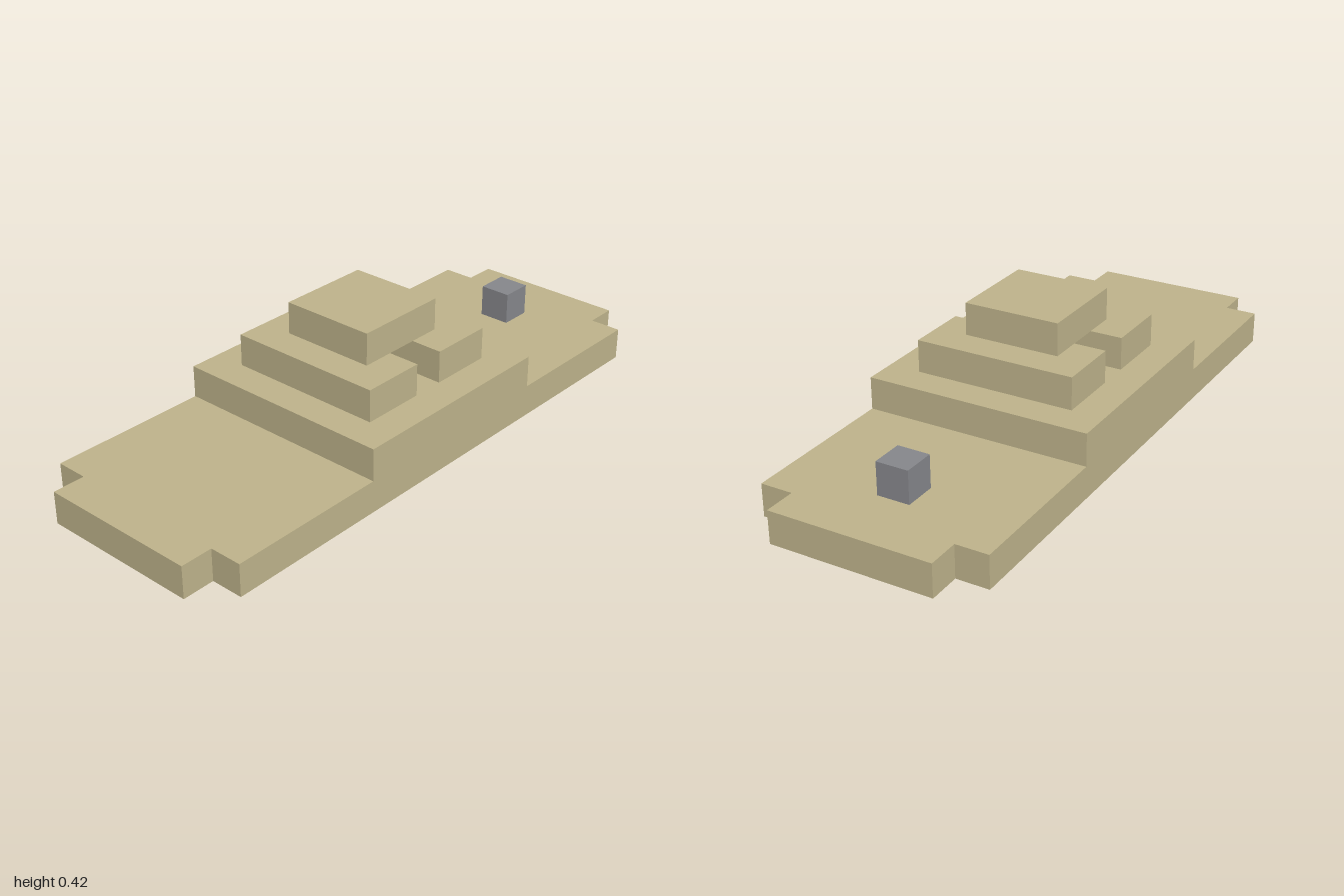
import * as THREE from 'three';

// One building block; the base is 19 blocks long
const U = 2 / 19;

export function createModel() {
  const model = new THREE.Group();
  model.name = 'steppedPlatform';

  const sand = new THREE.MeshStandardMaterial({ color: 0xbdb28a });
  sand.name = 'sand';
  const grey = new THREE.MeshStandardMaterial({ color: 0x85868a });
  grey.name = 'grey';

  const add = (name, geometry, material) => {
    const mesh = new THREE.Mesh(geometry, material);
    mesh.name = name;
    model.add(mesh);
    return mesh;
  };

  // Box with size and base centre measured in blocks
  const block = (name, [w, h, d], [x, y, z], material = sand) =>
    add(name, new THREE.BoxGeometry(w * U, h * U, d * U), material)
      .position.set(x * U, (y + h / 2) * U, z * U);

  // Base slab with a notch at each corner
  const outline = [
    [2.5, -9.5], [2.5, -8.5], [3.5, -8.5], [3.5, 8.5], [2.5, 8.5], [2.5, 9.5],
    [-2.5, 9.5], [-2.5, 8.5], [-3.5, 8.5], [-3.5, -8.5], [-2.5, -8.5], [-2.5, -9.5],
  ].map(([x, z]) => new THREE.Vector2(x * U, z * U));
  const slab = new THREE.ExtrudeGeometry(new THREE.Shape(outline), { depth: U, bevelEnabled: false });
  slab.rotateX(-Math.PI / 2);
  add('baseSlab', slab, sand);

  // Middle tier
  block('middleTier', [7, 1, 7], [0, 1, 0]);

  // Two bars with a passage between them
  block('frontBar', [5, 1, 2], [0, 2, 1.5]);
  block('backBar', [5, 1, 2], [0, 2, -1.5]);

  // Cap bridging the bars
  block('cap', [3, 1, 3], [0, 3, 0]);

  // Small cube on the back deck
  block('deckCube', [1, 1, 1], [0, 1, -7], grey);

  return model;
}
